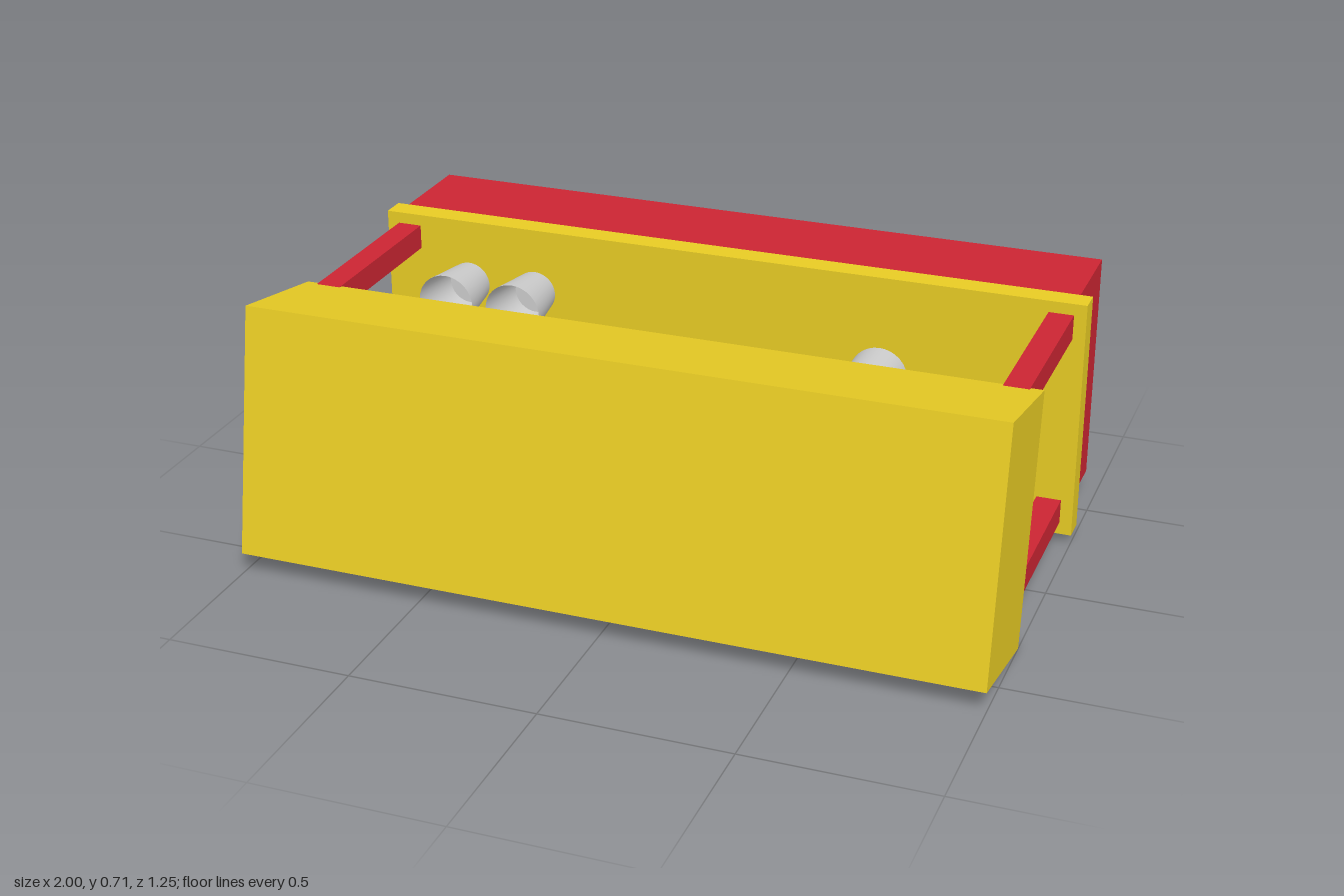
import * as THREE from 'three';

const yellow = new THREE.MeshStandardMaterial({ color: 0xe8cc24 });
const red = new THREE.MeshStandardMaterial({ color: 0xcc2533 });
const grey = new THREE.MeshStandardMaterial({ color: 0xcccccc });
const greyThin = new THREE.MeshStandardMaterial({ color: 0xcccccc, side: THREE.DoubleSide });

const PANEL_FRONT = -0.292; // z of the panel face that carries the fittings

export function createModel() {
  const model = new THREE.Group();

  const add = (name, geometry, material, x, y, z) => {
    const mesh = new THREE.Mesh(geometry, material);
    mesh.name = name;
    mesh.position.set(x, y, z);
    model.add(mesh);
    return mesh;
  };

  // Tilted front block, leaning backwards
  const front = add('frontBlock', new THREE.BoxGeometry(2, 0.667, 0.333), yellow, 0, 0.358, 0.407);
  front.rotation.x = -THREE.MathUtils.degToRad(10);

  // Mounting panel and rear housing
  add('panel', new THREE.BoxGeometry(2, 0.667, 0.067), yellow, 0, 0.358, -0.3255);
  add('rearHousing', new THREE.BoxGeometry(1.934, 0.633, 0.267), red, 0, 0.375, -0.4925);

  // Four square struts, their front ends buried in the tilted block
  for (const x of [-0.933, 0.933]) {
    for (const [y, end] of [[0.0915, 0.36], [0.6265, 0.3]]) {
      const length = end - PANEL_FRONT;
      add('strut', new THREE.BoxGeometry(0.067, 0.067, length), red, x, y, PANEL_FRONT + length / 2);
    }
  }

  // Flared open cups, facing forwards
  const cupProfile = [[0, 0.004], [0.06, 0.004], [0.08, 0.163]].map(([r, h]) => new THREE.Vector2(r, h));
  // Duplicate the base corner so the rim of the floor stays sharp
  cupProfile.splice(1, 0, new THREE.Vector2(0.0599, 0.004));
  const cup = new THREE.LatheGeometry(cupProfile, 32).rotateX(Math.PI / 2);
  const lowerCups = [-0.75, -0.45, -0.15, 0.15];
  for (const x of [-0.75, -0.55]) add('upperCup', cup, greyThin, x, 0.51, PANEL_FRONT);
  for (const x of lowerCups) add('lowerCup', cup, greyThin, x, 0.27, PANEL_FRONT);

  // Thin backing discs behind the lower cups
  const disc = new THREE.CylinderGeometry(0.115, 0.115, 0.006, 32).rotateX(Math.PI / 2);
  for (const x of lowerCups) add('backingDisc', disc, grey, x, 0.27, PANEL_FRONT + 0.002);

  // Two round knobs
  const knob = new THREE.CylinderGeometry(0.08, 0.08, 0.165, 32).rotateX(Math.PI / 2);
  for (const [x, y] of [[0.45, 0.41], [0.65, 0.275]]) add('knob', knob, grey, x, y, PANEL_FRONT + 0.0805);

  return model;
}
